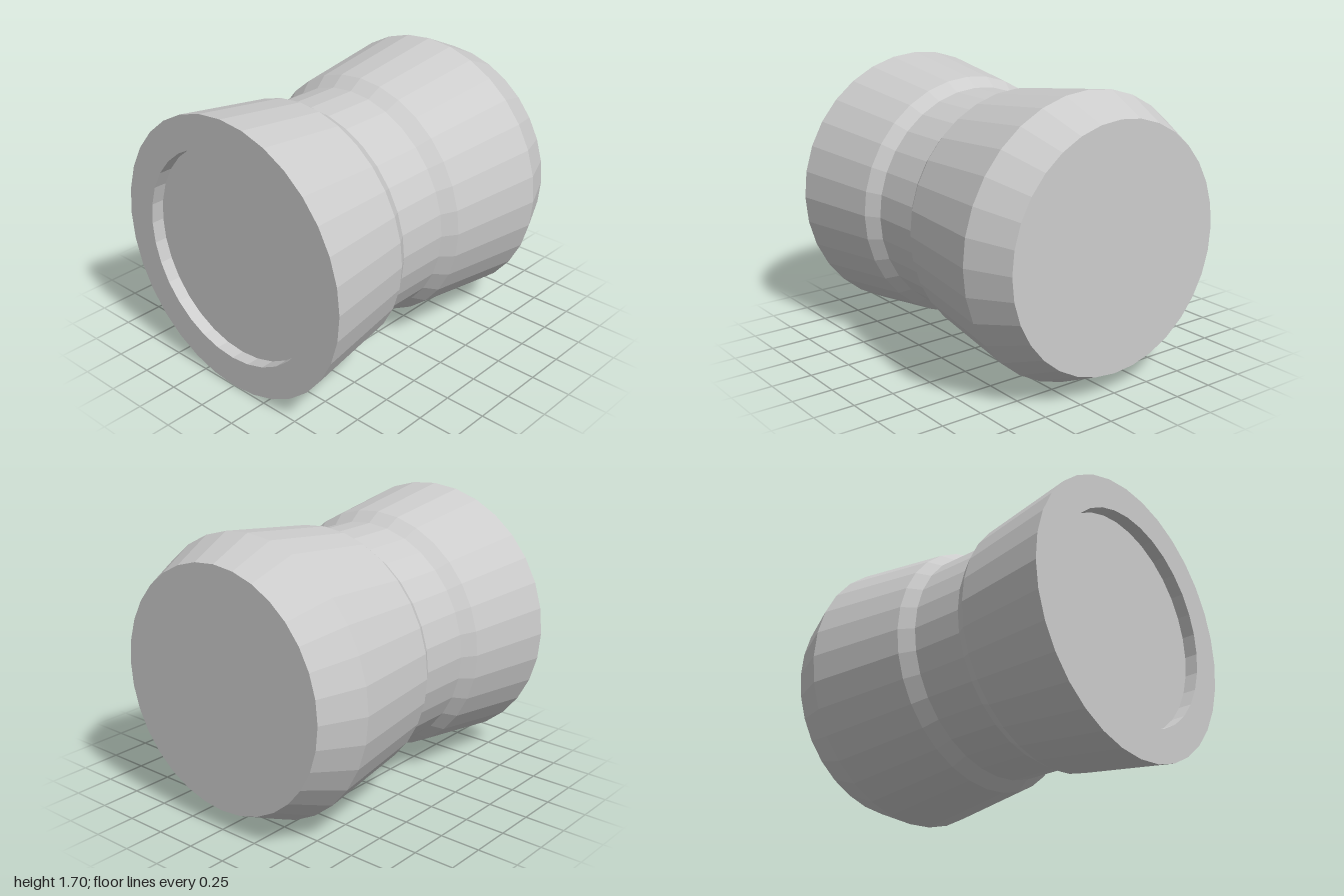
import * as THREE from 'three';

const SIDES = 32;

export function createModel() {
  const group = new THREE.Group();
  const grey = new THREE.MeshStandardMaterial({ color: 0xcccccc });
  grey.name = 'light grey';

  // Everything turns about the x axis; profiles are [radius, x]
  const add = (name, geometry) => {
    const flat = geometry.toNonIndexed();
    flat.computeVertexNormals();
    const mesh = new THREE.Mesh(flat, grey);
    mesh.name = name;
    mesh.position.y = 0.848;
    group.add(mesh);
  };
  const turned = (name, profile) => {
    const points = profile.map(([r, x]) => new THREE.Vector2(r, x));
    add(name, new THREE.LatheGeometry(points, SIDES).rotateZ(-Math.PI / 2));
  };
  const disc = (name, radius, x, facing) =>
    add(name, new THREE.CircleGeometry(radius, SIDES).rotateY(facing * Math.PI / 2).translate(x, 0, 0));

  // Flared body with a waist groove and a chamfered end
  turned('body', [
    [0.848, -1], [0.764, -0.405], [0.707, -0.32], [0.707, 0.015],
    [0.764, 0.1], [0.848, 0.735], [0.727, 1],
  ]);
  // Flat rim and the wall of the shallow recess
  turned('rim', [[0.65, -1], [0.848, -1]]);
  turned('recessWall', [[0.65, -0.92], [0.65, -1]]);
  disc('recessFloor', 0.65, -0.92, -1);
  disc('endCap', 0.727, 1, 1);

  return group;
}
